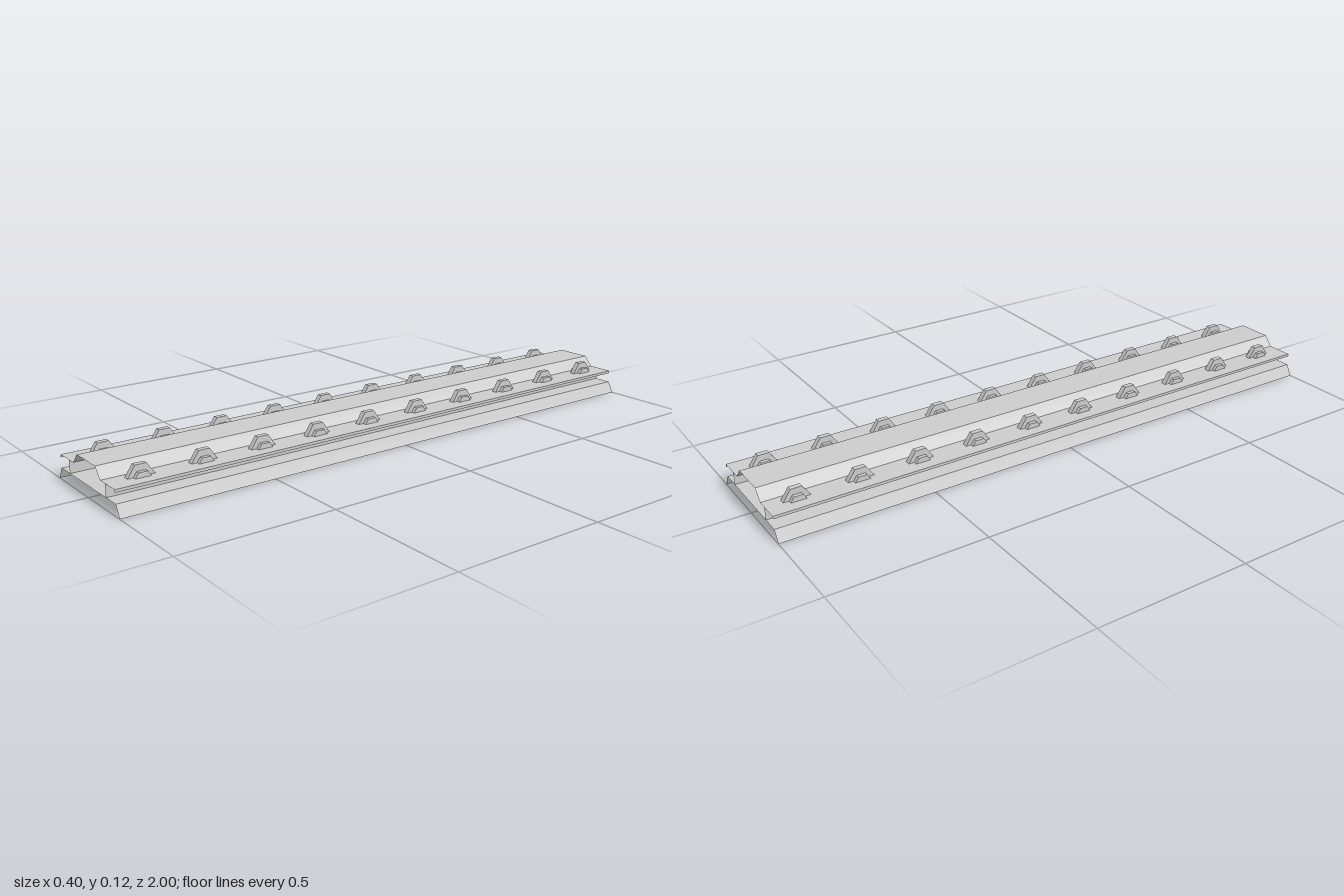
import * as THREE from 'three';

const material = new THREE.MeshStandardMaterial({ color: 0xcccccc, flatShading: true });
const sheetMaterial = new THREE.MeshStandardMaterial({ color: 0xcccccc, flatShading: true, side: THREE.DoubleSide });
const LENGTH = 2;

// Thin folded sheet: an open [x, y] profile swept along z
function foldedSheet(name, profile) {
  const positions = [];
  for (let i = 0; i < profile.length - 1; i++) {
    const [ax, ay] = profile[i], [bx, by] = profile[i + 1];
    const f = LENGTH / 2, b = -f;
    positions.push(ax, ay, f, bx, by, f, bx, by, b, ax, ay, f, bx, by, b, ax, ay, b);
  }
  const geometry = new THREE.BufferGeometry();
  geometry.setAttribute('position', new THREE.Float32BufferAttribute(positions, 3));
  geometry.computeVertexNormals();
  const mesh = new THREE.Mesh(geometry, sheetMaterial);
  mesh.name = name;
  return mesh;
}

// Trapezoid in the z-y plane, extruded across x
function trapezoidBlock(name, base, top, height, width) {
  const shape = new THREE.Shape([
    new THREE.Vector2(-base / 2, 0), new THREE.Vector2(base / 2, 0),
    new THREE.Vector2(top / 2, height), new THREE.Vector2(-top / 2, height),
  ]);
  const geometry = new THREE.ExtrudeGeometry(shape, { depth: width, bevelEnabled: false });
  geometry.translate(0, 0, -width / 2).rotateY(Math.PI / 2);
  const mesh = new THREE.Mesh(geometry, material);
  mesh.name = name;
  return mesh;
}

// Mirrors a right-half profile (centre outwards) into a full one
function symmetric(half) {
  return [...half.map(([x, y]) => [-x, y]).reverse(), ...half];
}

export function createModel() {
  const model = new THREE.Group();
  model.name = 'coveredTray';

  // Lower tray with downturned lips
  model.add(foldedSheet('lowerTray', symmetric([[0.18, 0.037], [0.2, 0]])));

  // Raised cover with flanges and short folded edges
  model.add(foldedSheet('upperCover', symmetric([[0.06, 0.112], [0.09, 0.079], [0.18, 0.079], [0.18, 0.07]])));

  for (const side of [-1, 1]) {
    // Upright web joining tray and cover
    model.add(foldedSheet('web', [[side * 0.12, 0.037], [side * 0.12, 0.079]]));

    // Row of clips along the flange
    for (let i = 0; i < 10; i++) {
      const clip = new THREE.Group();
      clip.name = 'clip';
      clip.add(trapezoidBlock('clipStrap', 0.085, 0.036, 0.036, 0.018));
      clip.add(trapezoidBlock('clipSaddle', 0.05, 0.028, 0.016, 0.044));
      clip.position.set(side * 0.12, 0.079, -0.905 + i * 0.2);
      model.add(clip);
    }
  }
  return model;
}
